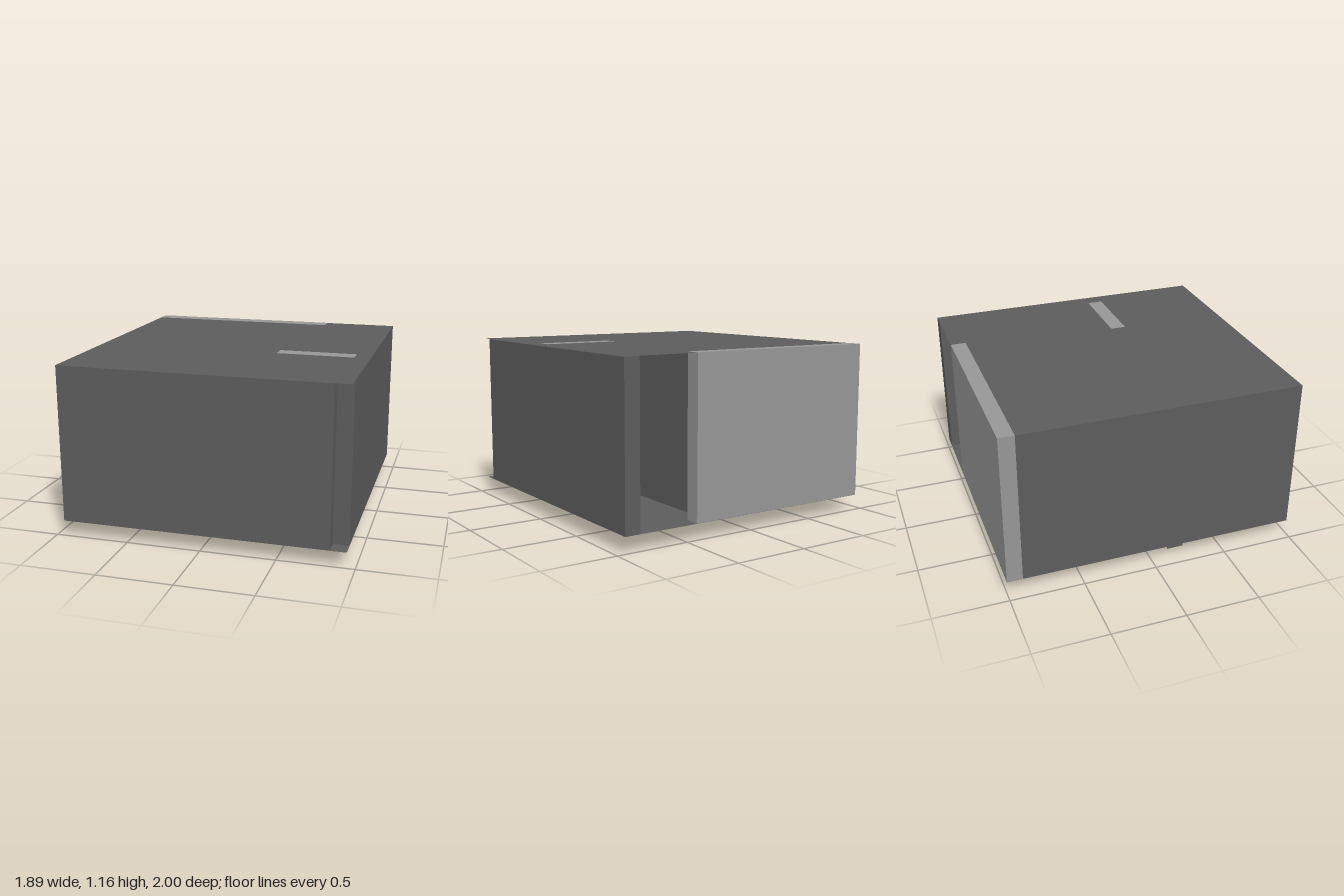
import * as THREE from 'three';

export function createModel() {
  const model = new THREE.Group();
  model.name = 'walledRoom';

  const darkGrey = new THREE.MeshStandardMaterial({ color: 0x5c5c5c, side: THREE.DoubleSide });
  darkGrey.name = 'dark grey';
  const lightGrey = new THREE.MeshStandardMaterial({ color: 0x969696 });
  lightGrey.name = 'light grey';

  const FLOOR = 0.105, ROOF = 1.16;

  // Box given by its lower and upper corners
  function block(name, material, [x0, y0, z0], [x1, y1, z1]) {
    const mesh = new THREE.Mesh(new THREE.BoxGeometry(x1 - x0, y1 - y0, z1 - z0), material);
    mesh.position.set((x0 + x1) / 2, (y0 + y1) / 2, (z0 + z1) / 2);
    mesh.name = name;
    model.add(mesh);
  }

  // Thin horizontal sheet covering the whole plan
  function sheet(name, y) {
    const mesh = new THREE.Mesh(new THREE.PlaneGeometry(1.89, 2).rotateX(-Math.PI / 2), darkGrey);
    mesh.position.y = y;
    mesh.name = name;
    model.add(mesh);
  }

  sheet('floor', FLOOR);
  sheet('roof', ROOF);

  // Outer walls, leaving an open front corner and a doorway at the back
  const low = FLOOR + 0.001, high = ROOF - 0.001, proud = ROOF + 0.001;
  block('frontWall', darkGrey, [-0.945, low, 0.895], [0.84, high, 1]);
  block('leftWall', darkGrey, [0.84, low, -1], [0.945, high, 0.895]);
  block('rightWall', darkGrey, [-0.945, low, -0.895], [-0.84, high, 0.895]);
  block('backWall', lightGrey, [-0.945, low, -1], [0.425, proud, -0.895]);

  // Inner partitions; the cross partition sits lower and passes through the floor
  block('hallPartition', darkGrey, [0.21, low, -0.895], [0.315, high, 0.26]);
  block('hallEndPartition', lightGrey, [0.315, low, 0.155], [0.84, proud, 0.26]);
  block('crossPartition', darkGrey, [-0.84, 0, 0.15], [0.215, 1.055, 0.26]);

  // Low panel set into the hall side of the left wall
  block('hallPanel', lightGrey, [0.8, 0.1, -0.48], [0.9, 0.6, 0.045]);

  return model;
}
